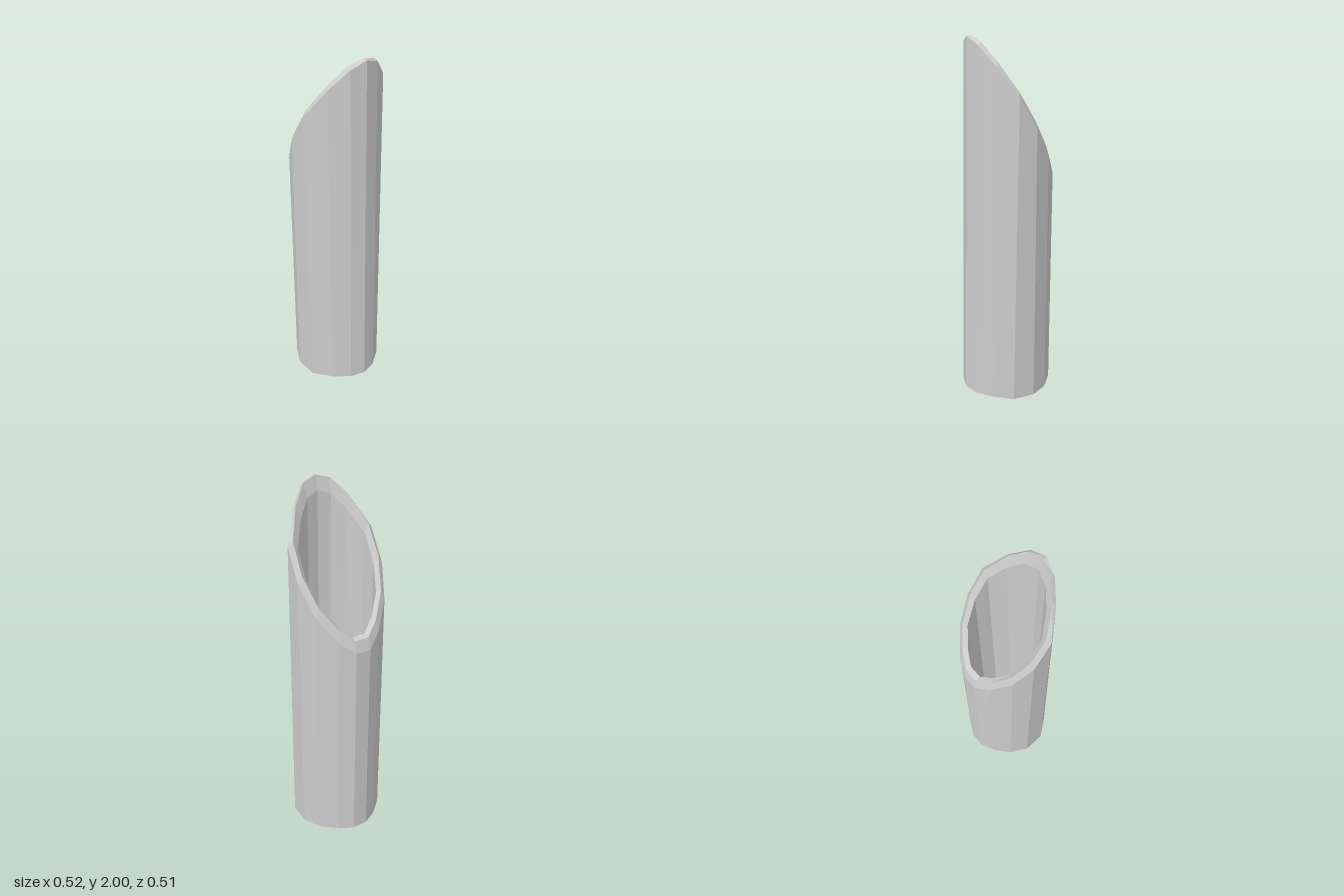
import * as THREE from 'three';

// Half outlines [x, z] running from the +x tip to the -x side; mirrored in z to close the 15-sided ring.
const BASE = [[0.26, 0], [0.237, 0.085], [0.172, 0.17], [0.077, 0.248], [-0.047, 0.254], [-0.143, 0.208], [-0.22, 0.122], [-0.26, 0.043]];
const TOP = [[0.218, 0], [0.198, 0.083], [0.138, 0.17], [0.053, 0.25], ...BASE.slice(4)];
const CREST = [[0.193, 0], [0.178, 0.08], [0.127, 0.155], [0.042, 0.225], [-0.047, 0.23], [-0.135, 0.19], [-0.205, 0.113], [-0.243, 0.04]];
const LIP = [[0.175, 0], [0.16, 0.07], [0.11, 0.14], [0.04, 0.2], [-0.04, 0.204], [-0.12, 0.17], [-0.18, 0.1], [-0.215, 0.035]];

// Close a half outline into a ring, with the height given as a rule of x
function ring(half, height, scale = 1) {
  const mirrored = half.slice(1).reverse().map(([x, z]) => [x, -z]);
  return [...half, ...mirrored].map(([x, z]) => [x * scale, height(x), z * scale]);
}

// Flat-shaded band between two rings
function band(name, lower, upper, material) {
  const pos = [];
  const n = lower.length;
  for (let i = 0; i < n; i++) {
    const j = (i + 1) % n;
    pos.push(...lower[i], ...upper[i], ...lower[j], ...lower[j], ...upper[i], ...upper[j]);
  }
  const geometry = new THREE.BufferGeometry();
  geometry.setAttribute('position', new THREE.Float32BufferAttribute(pos, 3));
  geometry.computeVertexNormals();
  const mesh = new THREE.Mesh(geometry, material);
  mesh.name = name;
  return mesh;
}

export function createModel() {
  const group = new THREE.Group();
  group.name = 'slantCutTube';
  const material = new THREE.MeshStandardMaterial({ color: 0xcccccc, flatShading: true });

  const floorY = 0.03;
  const base = ring(BASE, () => 0);
  const top = ring(TOP, (x) => 1.63 + 1.68 * x);
  const crest = ring(CREST, (x) => 1.672 + 1.7 * x);
  const lip = ring(LIP, (x) => 1.63 + 1.68 * x);
  const well = ring(BASE, () => floorY, 0.74);
  const point = (y) => base.map(() => [0, y, 0]);

  group.add(
    band('underside', point(0), base, material),
    band('outerWall', base, top, material),
    // slanted rim: outer bevel and inner lip
    band('rimBevel', top, crest, material),
    band('rimLip', crest, lip, material),
    band('innerWall', lip, well, material),
    band('floor', well, point(floorY), material),
  );
  return group;
}
